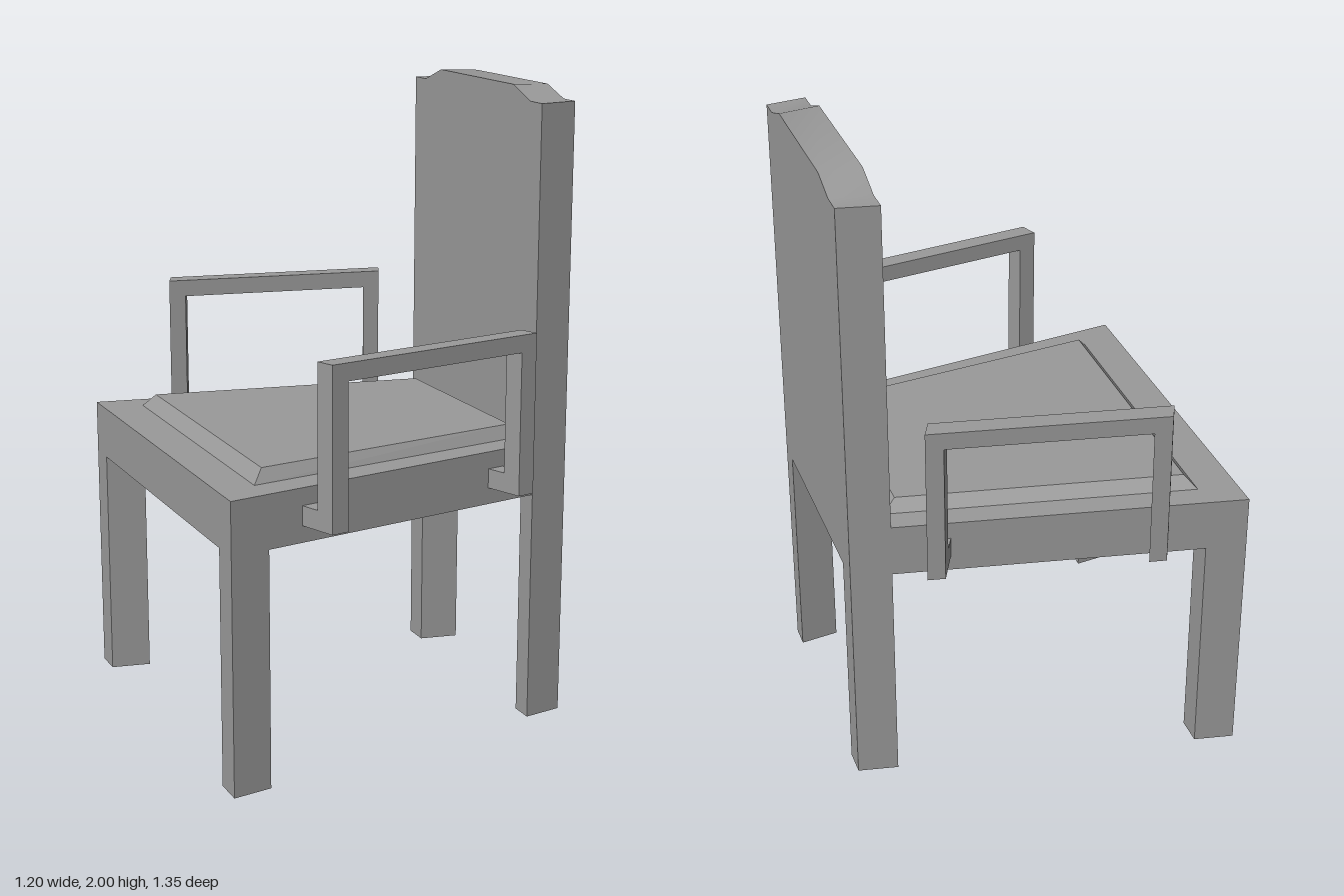
import * as THREE from 'three';
import { toCreasedNormals } from 'three/addons/utils/BufferGeometryUtils.js';

const COLOR = 0x999999;
const flat = new THREE.MeshStandardMaterial({ color: COLOR, flatShading: true });
const flatOpen = new THREE.MeshStandardMaterial({ color: COLOR, flatShading: true, side: THREE.DoubleSide });
const smooth = new THREE.MeshStandardMaterial({ color: COLOR });

const SEAT_BOTTOM = 0.745;
const SEAT_TOP = 0.912;

// Tapered plan of the chair: side edges as functions of x
const edgeNeg = x => -0.607 + (x + 0.6) * 0.1865;
const edgePos = x => 0.596 - (x + 0.6) * 0.155;

// Solid between two four-cornered plan outlines ([x, z] corners)
function prism(name, low, y0, y1, high = low, openBottom = false) {
  let area = 0;
  low.forEach(([x, z], i) => {
    const [x2, z2] = low[(i + 1) % 4];
    area += x * z2 - x2 * z;
  });
  if (area > 0) { low = [...low].reverse(); high = [...high].reverse(); }
  const a = low.map(([x, z]) => [x, y0, z]);
  const b = high.map(([x, z]) => [x, y1, z]);
  const pos = [];
  const quad = (p, q, r, s) => pos.push(...p, ...q, ...r, ...p, ...r, ...s);
  for (let i = 0; i < 4; i++) {
    const j = (i + 1) % 4;
    quad(a[i], a[j], b[j], b[i]);
  }
  quad(...b);
  if (!openBottom) quad(a[3], a[2], a[1], a[0]);
  const geo = new THREE.BufferGeometry();
  geo.setAttribute('position', new THREE.Float32BufferAttribute(pos, 3));
  geo.computeVertexNormals();
  const mesh = new THREE.Mesh(geo, openBottom ? flatOpen : flat);
  mesh.name = name;
  return mesh;
}

// Backrest: shaped outline extruded front to back, then tapered to the plan
function backrest() {
  const outline = [[0, SEAT_BOTTOM], [1, SEAT_BOTTOM], [1, 1.96], [0.915, 1.96],
    [0.785, 2], [0.21, 2], [0.085, 1.96], [0, 1.96]];
  const shape = new THREE.Shape(outline.map(([u, y]) => new THREE.Vector2(u, y)));
  const geo = new THREE.ExtrudeGeometry(shape, { depth: 0.125, bevelEnabled: false });
  const p = geo.attributes.position;
  for (let i = 0; i < p.count; i++) {
    const depth = p.getZ(i), x = 0.475 + depth;
    // the raised crest falls slightly towards the back
    const y = p.getY(i) - (p.getY(i) > 1.98 ? depth * 0.04 : 0);
    p.setXYZ(i, x, y, THREE.MathUtils.lerp(edgePos(x), edgeNeg(x), p.getX(i)));
  }
  // crest shades smoothly, corners stay sharp
  const mesh = new THREE.Mesh(toCreasedNormals(geo, 0.6), smooth);
  mesh.name = 'backrest';
  return mesh;
}

// Armrest: rail on two posts, with feet reaching in to the seat
function armrest(name, [ax, az], [bx, bz], [ix, iz]) {
  const at = (t, s) => [ax + (bx - ax) * t + ix * s, az + (bz - az) * t + iz * s];
  const patch = (t0, t1, s0, s1) => [at(t0, s0), at(t1, s0), at(t1, s1), at(t0, s1)];
  const arm = new THREE.Group();
  arm.name = name;
  arm.add(prism('armRail', patch(0, 1, 0, 1), 1.243, 1.297));
  for (const [t0, t1] of [[0, 0.075], [0.925, 1]]) {
    arm.add(prism('armPost', patch(t0, t1, 0, 1), 0.797, 1.243));
    arm.add(prism('armFoot', patch(t0, t1, 1, 2.15), 0.797, 0.858));
  }
  return arm;
}

export function createModel() {
  const chair = new THREE.Group();
  chair.name = 'armchair';

  // Seat slab and bevelled cushion
  const plan = (x0, x1) => [[x0, edgeNeg(x0)], [x1, edgeNeg(x1)], [x1, edgePos(x1)], [x0, edgePos(x0)]];
  chair.add(prism('seat', plan(-0.6, 0.475), SEAT_BOTTOM, SEAT_TOP));
  chair.add(prism('cushion',
    [[-0.475, -0.503], [0.475, -0.328], [0.48, 0.346], [-0.48, 0.481]], SEAT_TOP, 0.953,
    [[-0.44, -0.47], [0.435, -0.31], [0.44, 0.33], [-0.445, 0.45]]));

  chair.add(backrest());

  // Legs follow the tapered sides and are open underneath
  for (const [name, x0, x1, widthNeg, widthPos] of [
    ['frontLeg', -0.6, -0.475, 0.088, 0.094],
    ['backLeg', 0.475, 0.6, 0.083, 0.073],
  ]) {
    for (const [edge, inset] of [[edgeNeg, widthNeg], [edgePos, -widthPos]]) {
      const corners = [[x0, edge(x0)], [x1, edge(x1)], [x1, edge(x1) + inset], [x0, edge(x0) + inset]];
      chair.add(prism(name, corners, 0, SEAT_BOTTOM, corners, true));
    }
  }

  chair.add(armrest('rightArmrest', [-0.305, -0.675], [0.405, -0.543], [-0.027, 0.058]));
  chair.add(armrest('leftArmrest', [-0.32, 0.675], [0.4, 0.562], [-0.021, -0.056]));
  return chair;
}
